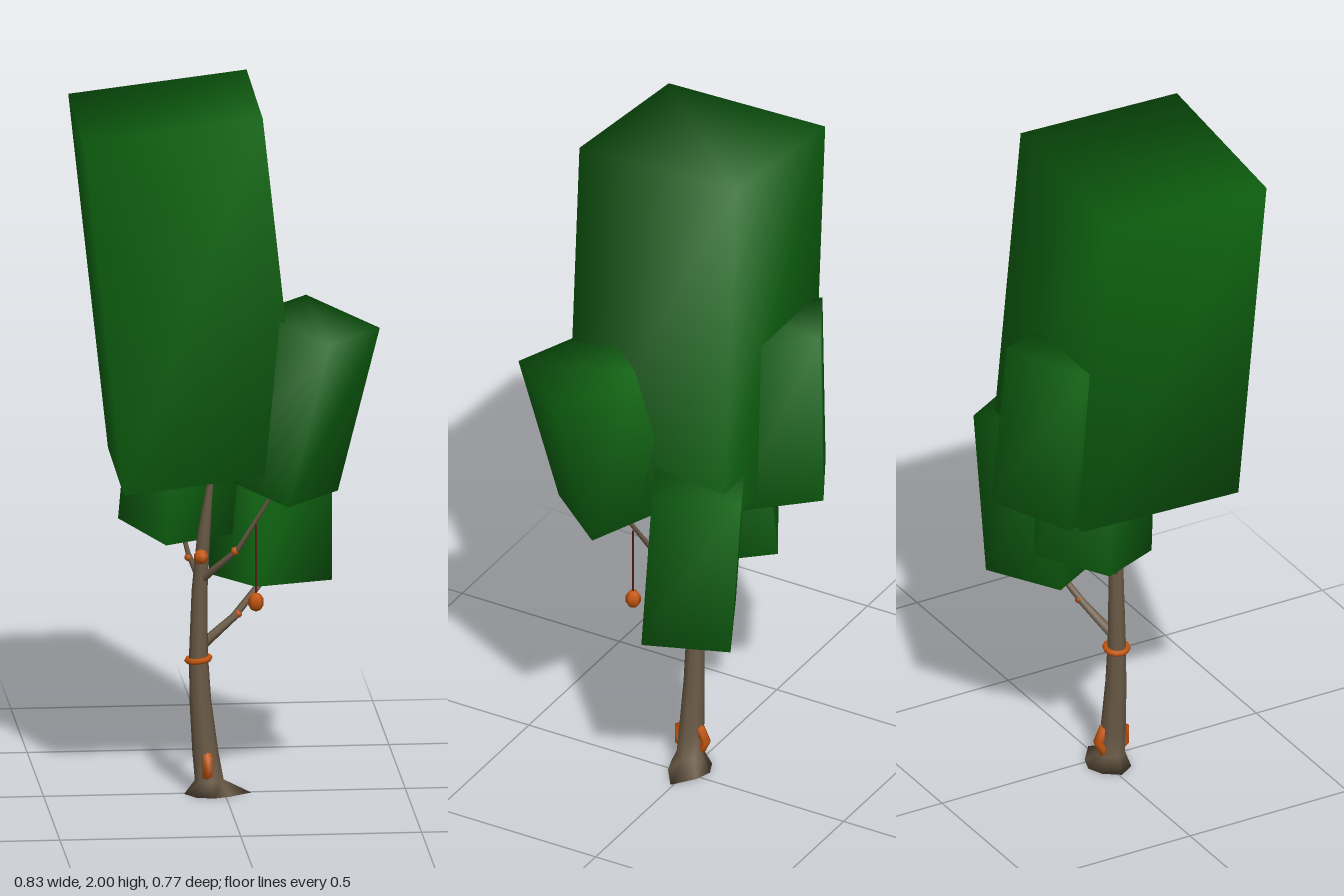
import * as THREE from 'three';
import { mergeVertices } from 'three/addons/utils/BufferGeometryUtils.js';

const mat = (name, color) => Object.assign(new THREE.MeshStandardMaterial({ color }), { name });

// Drop seams so shared corners get one soft normal
function soften(geo) {
  geo.deleteAttribute('uv');
  geo.deleteAttribute('normal');
  const g = mergeVertices(geo, 1e-5);
  g.computeVertexNormals();
  return g;
}

// Slanted block of leaves: base centre, lean vector and two edge vectors
function leafBlock(base, up, a, b) {
  const [B, U, A, D] = [base, up, a, b].map(v => new THREE.Vector3(...v));
  const m = new THREE.Matrix4().makeBasis(A, U, D).setPosition(B.addScaledVector(U, 0.5));
  return soften(new THREE.BoxGeometry(1, 1, 1)).applyMatrix4(m);
}

// Tapering limb through points [x, y, z, radius]; flare scales the first ring per side
function limb(points, sides, flare = []) {
  const pts = points.map(p => new THREE.Vector3(p[0], p[1], p[2]));
  const pos = [], idx = [], n = pts.length;
  const X = new THREE.Vector3(), Z = new THREE.Vector3(), T = new THREE.Vector3();
  pts.forEach((p, i) => {
    T.subVectors(pts[Math.min(i + 1, n - 1)], pts[Math.max(i - 1, 0)]).normalize();
    if (flare.length) T.set(0, 1, 0);
    X.set(1, 0, 0).addScaledVector(T, -T.x).normalize();
    Z.crossVectors(X, T);
    for (let s = 0; s < sides; s++) {
      const t = (s / sides) * Math.PI * 2;
      const r = points[i][3] * (i === 0 && flare.length ? flare[s] : 1);
      const v = p.clone().addScaledVector(X, Math.cos(t) * r).addScaledVector(Z, Math.sin(t) * r);
      pos.push(v.x, v.y, v.z);
      if (i < n - 1) {
        const k = i * sides, s2 = (s + 1) % sides;
        idx.push(k + s, k + sides + s, k + s2, k + s2, k + sides + s, k + sides + s2);
      }
    }
  });
  // End caps
  for (let s = 1; s < sides - 1; s++) {
    const k = (n - 1) * sides;
    idx.push(0, s, s + 1, k, k + s + 1, k + s);
  }
  const g = new THREE.BufferGeometry();
  g.setAttribute('position', new THREE.Float32BufferAttribute(pos, 3));
  g.setIndex(idx);
  g.computeVertexNormals();
  return g;
}

export function createModel() {
  const root = new THREE.Group();
  root.name = 'tree';
  const leaf = mat('leaf green', 0x0f6711);
  const bark = mat('bark brown', 0x6a5a46);
  const orange = mat('fungus orange', 0xc4560e);
  const cord = mat('cord red', 0x5c1c10);
  const add = (name, geo, material, at = [0, 0, 0], rot = [0, 0, 0]) => {
    const m = new THREE.Mesh(geo, material);
    m.name = name;
    m.position.set(...at);
    m.rotation.set(...rot);
    root.add(m);
    return m;
  };

  // Foliage blocks
  const blocks = {
    mainCanopy: [[-0.055, 0.951, 0.02], [-0.112, 1.012, 0.025], [0.493, 0.058, 0], [0, -0.015, 0.497]],
    frontLeftCanopy: [[0.13, 0.913, 0.145], [0.11, 0.475, 0.065], [0.155, -0.003, -0.195], [0.19, -0.06, 0.155]],
    backLeftCanopy: [[0.135, 0.588, -0.085], [0.005, 0.497, -0.037], [0.22, -0.012, -0.11], [0.11, 0.015, 0.22]],
    backRightCanopy: [[-0.13, 0.935, -0.22], [-0.035, 0.495, 0.03], [0.22, 0.02, -0.12], [0.12, -0.04, 0.22]],
    lowRightCanopy: [[-0.12, 0.737, -0.09], [0.04, 0.5, 0.04], [0.21, 0, -0.12], [0.115, -0.03, 0.2]],
  };
  for (const [name, b] of Object.entries(blocks)) add(name, leafBlock(...b), leaf);

  // Trunk with a flared root
  add('trunk', limb([
    [-0.035, 0, 0.008, 0.07], [-0.043, 0.04, 0.012, 0.04], [-0.054, 0.12, 0.014, 0.036],
    [-0.068, 0.27, 0.014, 0.03], [-0.073, 0.4, 0.014, 0.026], [-0.07, 0.58, 0.014, 0.022],
    [-0.058, 0.75, 0.02, 0.018], [-0.038, 0.92, 0.03, 0.006],
  ], 8, [1.55, 0.9, 0.85, 0.95, 1.1, 0.9, 0.9, 0.95]), bark);

  // Branches
  const branches = [
    [[-0.065, 0.42, 0.008, 0.015], [0.03, 0.49, -0.035, 0.011], [0.13, 0.6, -0.09, 0.008]],
    [[-0.065, 0.61, 0.02, 0.012], [0.03, 0.71, 0.085, 0.008], [0.125, 0.89, 0.15, 0.005]],
    [[-0.07, 0.61, 0.01, 0.01], [-0.1, 0.68, 0, 0.007], [-0.125, 0.78, -0.02, 0.005]],
  ];
  branches.forEach((b, i) => add('branch' + (i + 1), limb(b, 6), bark));

  // Orange bands around the trunk
  add('trunkBand', new THREE.TorusGeometry(0.031, 0.0085, 6, 12), orange, [-0.073, 0.384, 0.013], [Math.PI / 2, 0.12, 0]);
  add('rootLoop', new THREE.TorusGeometry(0.044, 0.015, 6, 7), orange, [-0.051, 0.087, 0.012], [0, Math.PI / 2, 0]);

  // Small fungus knobs
  const knobs = [[-0.068, 0.68, 0.04, 0.021], [0.022, 0.704, 0.08, 0.012], [0.04, 0.497, -0.04, 0.013], [-0.1, 0.67, 0, 0.011]];
  knobs.forEach(([x, y, z, r], i) => add('knob' + (i + 1), new THREE.SphereGeometry(r, 7, 5), orange, [x, y, z]));

  // Hanging fruit on its cord
  add('cord', new THREE.CylinderGeometry(0.003, 0.003, 0.2, 5), cord, [0.076, 0.69, 0.125]);
  add('hangingFruit', new THREE.SphereGeometry(0.025, 6, 5).scale(0.9, 1.1, 0.9), orange, [0.076, 0.57, 0.125]);

  return root;
}
